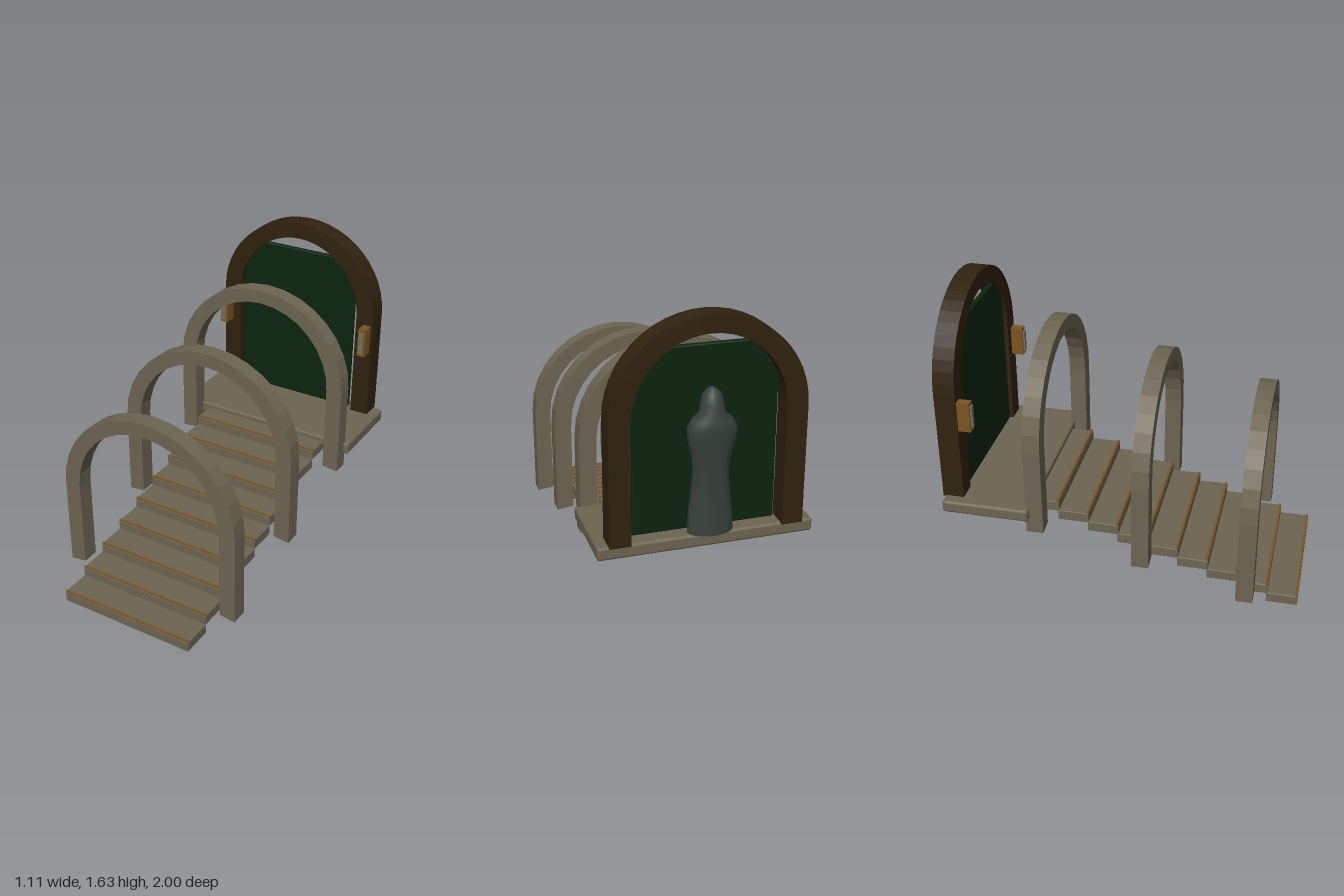
import * as THREE from 'three';
import { RoundedBoxGeometry } from 'three/addons/geometries/RoundedBoxGeometry.js';

const mat = (name, color, extra = {}) => {
  const m = new THREE.MeshStandardMaterial({ color, ...extra });
  m.name = name;
  return m;
};

export function createModel() {
  const group = new THREE.Group();
  const stone = mat('stone', 0x6d6552);
  const darkWood = mat('dark wood', 0x30220f);
  const doorGreen = mat('door green', 0x0c2410);
  const brass = mat('brass', 0x7b5424);
  const glass = mat('lamp glass', 0x77705f);
  const cloth = mat('cloak grey', 0x38403b, { side: THREE.DoubleSide });

  const add = (name, geometry, material, x = 0, y = 0, z = 0) => {
    const mesh = new THREE.Mesh(geometry, material);
    mesh.name = name;
    mesh.position.set(x, y, z);
    group.add(mesh);
    return mesh;
  };
  const box = (name, w, h, d, material, x, y, z, r = 0) =>
    add(name, r ? new RoundedBoxGeometry(w, h, d, 2, r) : new THREE.BoxGeometry(w, h, d), material, x, y, z);

  // Arch outline: two legs joined by a half ring, pushed back by its depth
  const arch = (name, o, material) => {
    const { outer, inner, bottom, top, innerTop, spring, z, depth, slant = 0, segments = 16 } = o;
    const s = new THREE.Shape();
    s.moveTo(outer, bottom);
    for (let i = 0; i <= segments; i++) {
      const a = (Math.PI * i) / segments;
      s.lineTo(outer * Math.cos(a), spring + (top - spring) * Math.sin(a));
    }
    s.lineTo(-outer, bottom);
    s.lineTo(-inner, bottom + slant);
    for (let i = segments; i >= 0; i--) {
      const a = (Math.PI * i) / segments;
      s.lineTo(inner * Math.cos(a), spring + (innerTop - spring) * Math.sin(a));
    }
    s.lineTo(inner, bottom + slant);
    s.closePath();
    add(name, new THREE.ExtrudeGeometry(s, { depth, bevelEnabled: false }), material, 0, 0, z);
  };

  // Stairs with a thin edge strip on every tread
  const run = 0.1655, rise = 0.0535;
  for (let i = 0; i < 9; i++) {
    const front = 1 - run * i, base = 0.003 + rise * i;
    box('step', 0.78, 0.058, 0.17, stone, 0, base + 0.029, front - 0.085, 0.005);
    box('stepEdge', 0.775, 0.008, 0.012, brass, 0, base + 0.061, front - 0.008);
  }

  // Landing
  box('landing', 1.11, 0.07, 0.48, stone, -0.003, 0.485, -0.69, 0.015);

  // Three stone arches climbing with the stairs
  [[0.675, 0.085], [0.107, 0.225], [-0.47, 0.368]].forEach(([z, bottom]) =>
    arch('stairArch', {
      outer: 0.523, inner: 0.432, bottom, slant: 0.012, top: bottom + 1.013,
      innerTop: bottom + 0.937, spring: bottom + 0.5, z, depth: 0.093,
    }, stone));

  // Door and its arched frame
  arch('doorFrame', {
    outer: 0.495, inner: 0.387, bottom: 0.515, top: 1.63, innerTop: 1.54,
    spring: 1.14, z: -0.942, depth: 0.117, segments: 24,
  }, darkWood);
  box('door', 0.73, 0.94, 0.03, doorGreen, -0.003, 1.0, -0.853, 0.008);

  // Wall lamps on both frame legs
  for (const x of [-0.464, 0.458]) {
    box('lampBody', 0.046, 0.168, 0.07, brass, x, 1.015, -0.79);
    box('lampGlass', 0.026, 0.13, 0.01, glass, x, 1.015, -0.75);
  }

  // Hooded cloak hanging behind the door: [height, half width, half depth, centre z]
  const rings = [
    [0.535, 0.115, 0.07, -0.92], [0.62, 0.113, 0.066, -0.918], [0.74, 0.1, 0.062, -0.916],
    [0.86, 0.09, 0.062, -0.918], [0.94, 0.1, 0.066, -0.92], [1.02, 0.122, 0.072, -0.922],
    [1.08, 0.124, 0.076, -0.924], [1.12, 0.1, 0.07, -0.922], [1.15, 0.062, 0.064, -0.92],
    [1.2, 0.056, 0.06, -0.918], [1.24, 0.045, 0.045, -0.914], [1.265, 0.022, 0.026, -0.912],
    [1.275, 0.001, 0.001, -0.912],
  ];
  const sides = 20;
  const cloak = new THREE.CylinderGeometry(1, 1, 1, sides, rings.length - 1, true);
  const p = cloak.attributes.position;
  for (let i = 0; i < p.count; i++) {
    const row = rings.length - 1 - Math.floor(i / (sides + 1));
    const [y, w, d, z] = rings[row];
    p.setXYZ(i, -0.015 + p.getX(i) * w, y, z + p.getZ(i) * d);
  }
  cloak.computeVertexNormals();
  add('cloak', cloak, cloth);

  return group;
}
